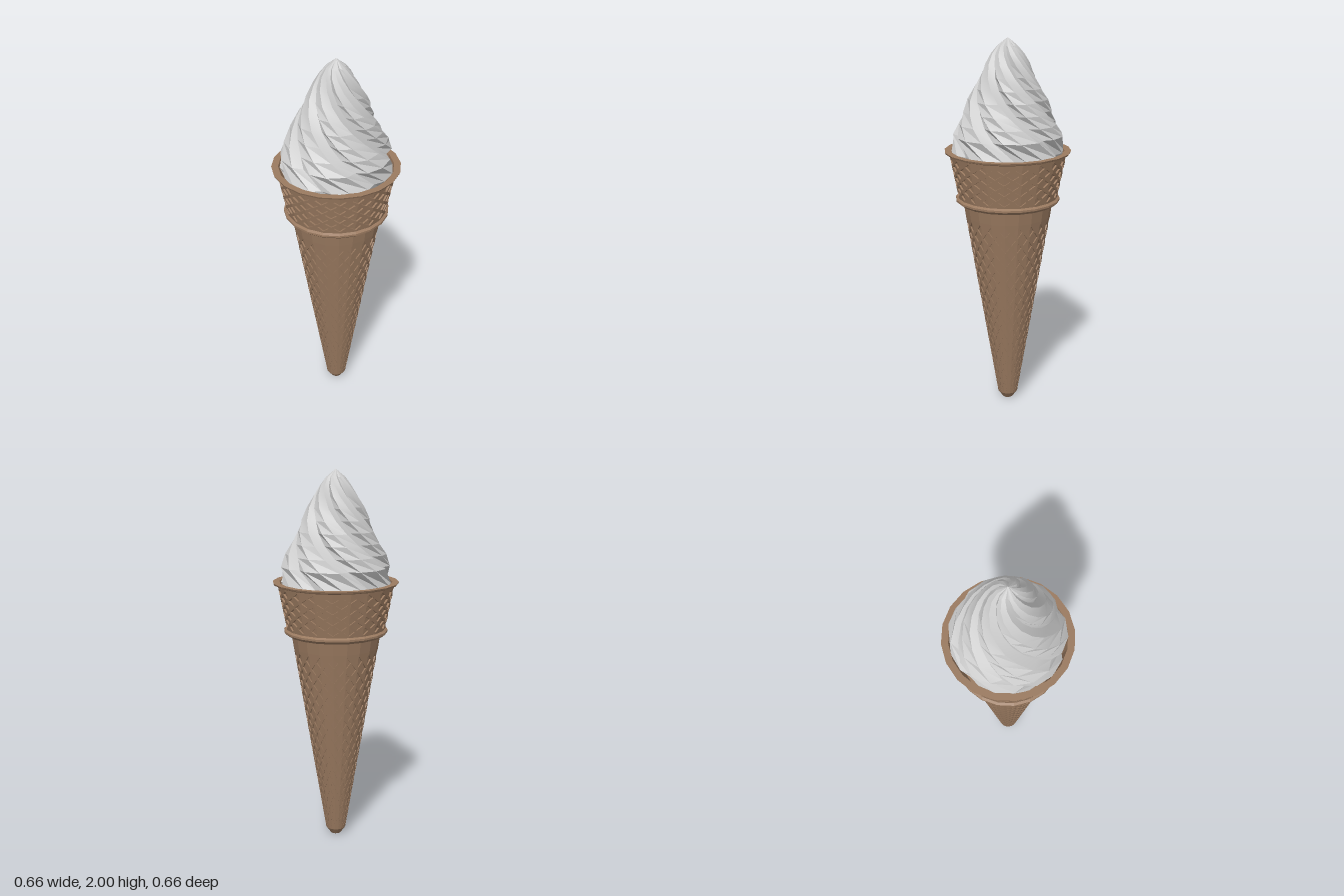
import * as THREE from 'three';
import { toCreasedNormals } from 'three/addons/utils/BufferGeometryUtils.js';

const SIDES = 20;
const waferMat = new THREE.MeshStandardMaterial({ color: 0x9a7a60, flatShading: true });
const creamMat = new THREE.MeshStandardMaterial({ color: 0xcccccc });
const lerp = THREE.MathUtils.lerp;

const polar = (r, y, a) => new THREE.Vector3(r * Math.sin(a), y, r * Math.cos(a));

function geometryFrom(points) {
  const g = new THREE.BufferGeometry().setFromPoints(points);
  g.computeVertexNormals();
  return g;
}

function addMesh(group, name, geometry, material) {
  const mesh = new THREE.Mesh(geometry, material);
  mesh.name = name;
  group.add(mesh);
}

// Faceted turned part, profile given as [radius, height]
function turned(profile) {
  return new THREE.LatheGeometry(profile.map(([r, y]) => new THREE.Vector2(r, y)), SIDES);
}

// Tapered wall whose cells are crossed by diagonal ribs with sunken pockets between
function waffleWall(r0, y0, r1, y1, rows) {
  const out = [];
  const quad = (a, b, c, d) => out.push(a, b, c, a, c, d);
  const sink = p => new THREE.Vector3(p.x * 0.965, p.y, p.z * 0.965);
  const at = (i, j) =>
    polar(lerp(r0, r1, j / rows), lerp(y0, y1, j / rows), (i * Math.PI * 2) / SIDES);
  for (let j = 0; j < rows; j++) {
    for (let i = 0; i < SIDES; i++) {
      const k = [at(i, j), at(i + 1, j), at(i + 1, j + 1), at(i, j + 1)];
      const c = k[0].clone().add(k[1]).add(k[2]).add(k[3]).multiplyScalar(0.25);
      for (let s = 0; s < 4; s++) {
        const a = k[s], b = k[(s + 1) % 4];
        // Close the pockets along the two ends of the wall
        if ((s === 0 && j === 0) || (s === 2 && j === rows - 1)) {
          out.push(a, b, c);
          continue;
        }
        const pa = a.clone().lerp(b, 0.16), pb = b.clone().lerp(a, 0.16);
        const pc = c.clone().lerp(a.clone().add(b).multiplyScalar(0.5), 0.3);
        const fa = sink(pa), fb = sink(pb), fc = sink(pc);
        quad(b, c, pc, pb);
        quad(c, a, pa, pc);
        quad(pb, pc, fc, fb);
        quad(pc, pa, fa, fc);
        out.push(fa, fb, fc);
      }
    }
  }
  return geometryFrom(out);
}

// Six twisted lobes rising to a point
function swirl() {
  // [height, outer radius, groove depth]
  const levels = [
    [1.28, 0.25, 0.08], [1.42, 0.293, 0.1], [1.51, 0.29, 0.13], [1.57, 0.262, 0.17],
    [1.63, 0.232, 0.2], [1.69, 0.206, 0.22], [1.75, 0.177, 0.24], [1.81, 0.147, 0.25],
    [1.87, 0.115, 0.26], [1.92, 0.085, 0.26], [1.96, 0.052, 0.24], [2.0, 0, 0],
  ];
  // [position across the lobe, share of the groove depth]
  const lobe = [[0, 1], [0.2, 0.25], [0.5, 0], [0.82, 0.2]];
  const rings = levels.map(([y, r, depth]) => {
    const turn = THREE.MathUtils.degToRad(56 - 260 * (y - 1.5));
    const ring = [];
    for (let n = 0; n < 6; n++)
      for (const [t, d] of lobe)
        ring.push(polar(r * (1 - depth * d), y, turn + ((n + t) * Math.PI) / 3));
    return ring;
  });
  const out = [];
  for (let j = 0; j < rings.length - 1; j++) {
    const lo = rings[j], hi = rings[j + 1];
    for (let i = 0; i < lo.length; i++) {
      const n = (i + 1) % lo.length;
      out.push(lo[i], lo[n], hi[i]);
      if (j < rings.length - 2) out.push(lo[n], hi[n], hi[i]);
    }
  }
  return toCreasedNormals(geometryFrom(out), 0.42);
}

export function createModel() {
  const group = new THREE.Group();
  group.name = 'iceCreamCone';

  // Wafer, from the tip upwards
  addMesh(group, 'coneTip', turned([[0, 0], [0.028, 0.004], [0.054, 0.04]]), waferMat);
  addMesh(group, 'coneBody', waffleWall(0.054, 0.04, 0.226, 1.08, 12), waferMat);
  addMesh(group, 'collar', turned([
    [0.226, 1.08], [0.235, 1.145], [0.256, 1.147], [0.274, 1.162], [0.274, 1.172], [0.262, 1.18],
  ]), waferMat);
  addMesh(group, 'cupWall', waffleWall(0.262, 1.18, 0.307, 1.41, 4), waferMat);
  addMesh(group, 'cupRim', turned([
    [0.307, 1.41], [0.326, 1.417], [0.33, 1.426], [0.295, 1.426], [0.25, 1.24], [0, 1.24],
  ]), waferMat);

  // Soft serve
  addMesh(group, 'creamSwirl', swirl(), creamMat);
  return group;
}
